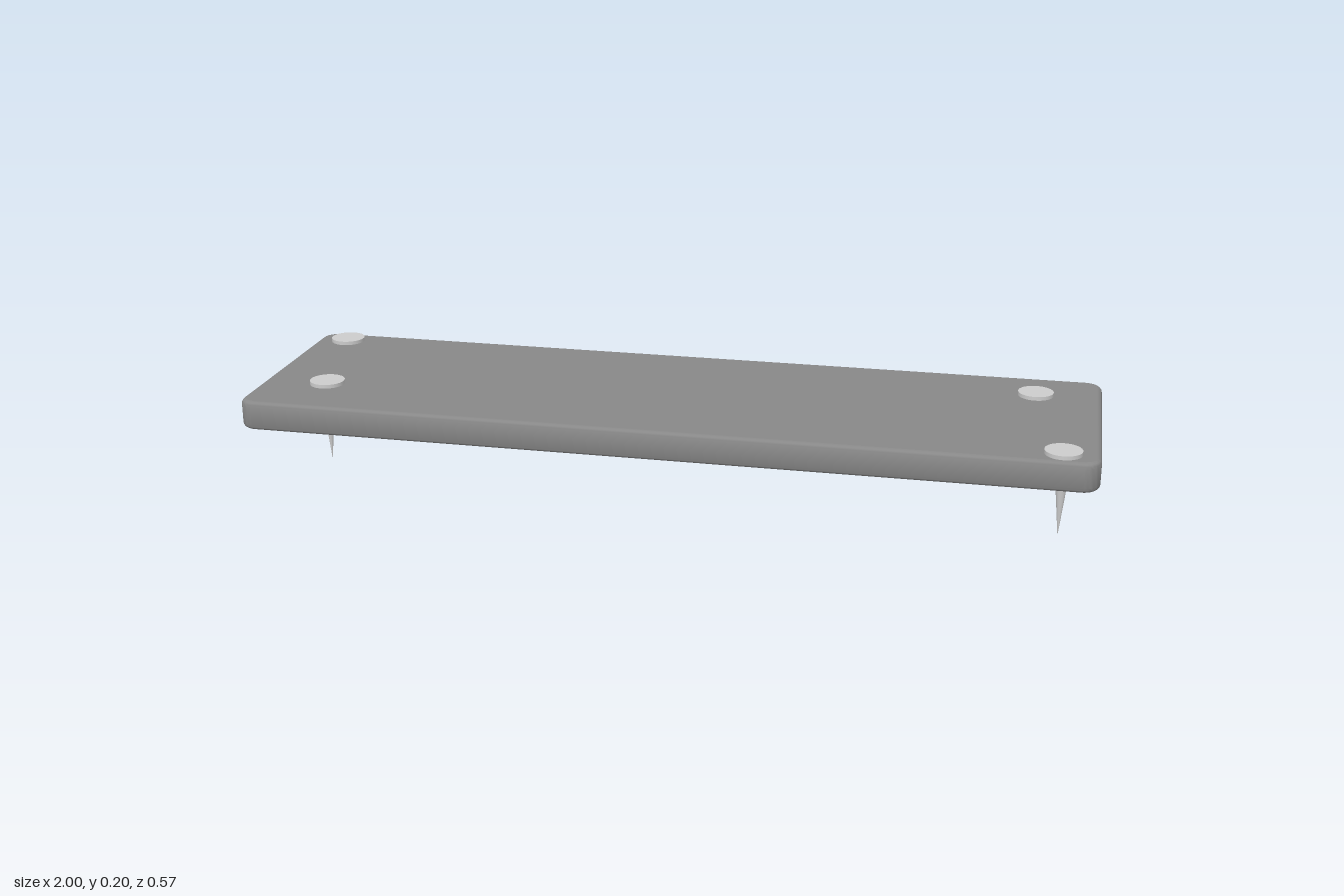
import * as THREE from 'three';
import { toCreasedNormals } from 'three/addons/utils/BufferGeometryUtils.js';

const BOTTOM = 0.125, TOP = 0.195;
const HALF_X = 1, HALF_Z = 0.286;
const CORNER = 0.04, BEVEL = 0.012;

// Flat board with rounded corners and softened edges
function plankGeometry() {
  const x = HALF_X - BEVEL, y = HALF_Z - BEVEL, r = CORNER - BEVEL;
  const outline = new THREE.Shape();
  outline.absarc(x - r, y - r, r, 0, Math.PI / 2);
  outline.absarc(-x + r, y - r, r, Math.PI / 2, Math.PI);
  outline.absarc(-x + r, -y + r, r, Math.PI, Math.PI * 1.5);
  outline.absarc(x - r, -y + r, r, Math.PI * 1.5, Math.PI * 2);
  outline.closePath();
  const flat = new THREE.ExtrudeGeometry(outline, {
    depth: TOP - BOTTOM - 2 * BEVEL,
    bevelThickness: BEVEL, bevelSize: BEVEL, bevelSegments: 4, curveSegments: 6,
  });
  flat.rotateX(-Math.PI / 2);
  flat.translate(0, BOTTOM + BEVEL, 0);

  // Smooth the edges but keep the two broad faces perfectly flat
  const faceNormals = flat.attributes.normal.clone();
  const geometry = toCreasedNormals(flat, 0.6);
  const normals = geometry.attributes.normal;
  for (let i = 0; i < normals.count; i++) {
    const ny = faceNormals.getY(i);
    if (Math.abs(ny) > 0.999) normals.setXYZ(i, 0, Math.sign(ny), 0);
  }
  return geometry;
}

// Nail with a flat round head and a shank tapering to a point on the ground
function createNail(material) {
  const nail = new THREE.Group();
  const headHeight = 0.014;
  const head = new THREE.Mesh(new THREE.CylinderGeometry(0.042, 0.042, headHeight, 32), material);
  head.name = 'nailHead';
  head.position.y = 0.204 - headHeight / 2;
  const shank = new THREE.Mesh(new THREE.ConeGeometry(0.0205, TOP, 24).rotateX(Math.PI), material);
  shank.name = 'nailShank';
  shank.position.y = TOP / 2;
  nail.add(head, shank);
  return nail;
}

export function createModel() {
  const model = new THREE.Group();
  model.name = 'nailedPlank';

  const plank = new THREE.Mesh(plankGeometry(), new THREE.MeshStandardMaterial({ color: 0x888888 }));
  plank.name = 'plank';
  model.add(plank);

  // Two staggered nails at each end
  const metal = new THREE.MeshStandardMaterial({ color: 0xcccccc });
  const spots = [[-0.92, -0.227], [-0.84, 0.113], [0.845, -0.157], [0.917, 0.23]];
  spots.forEach(([x, z], i) => {
    const nail = createNail(metal);
    nail.name = `nail${i + 1}`;
    nail.position.set(x, 0, z);
    model.add(nail);
  });
  return model;
}
